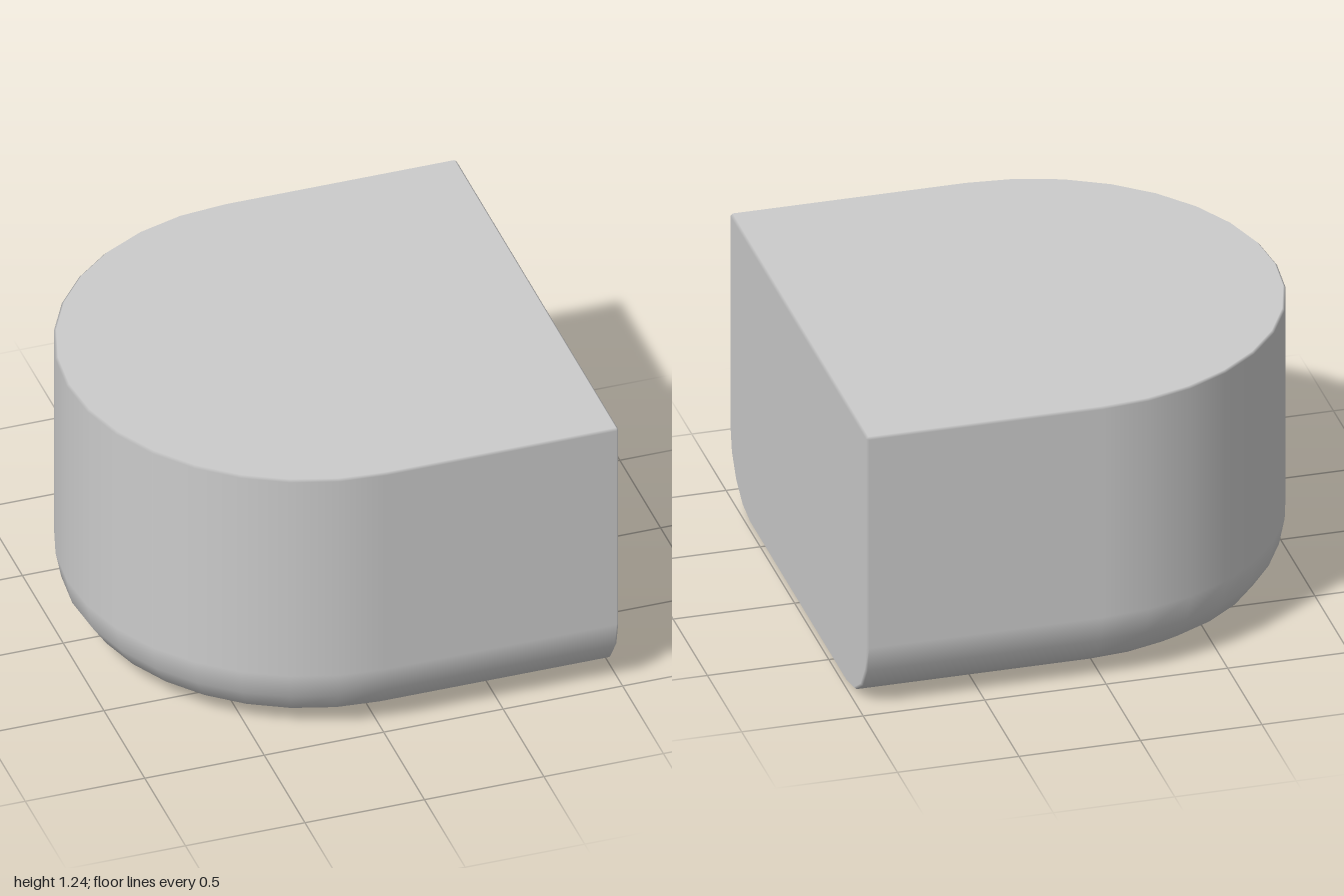
import * as THREE from 'three';

const R = 1, HEIGHT = 1.24, FILLET = 0.3, BEVEL = 0.01;
const ARC_X = 0.015, END_X = 0.985;

// Half cross-section from bottom centre to top centre: radius, height and normal
function crossSection() {
  const points = [{ r: 0, y: 0, nr: 0, ny: -1 }];
  for (let i = 0; i <= 4; i++) {
    const a = (i / 4) * Math.PI / 2;
    const nr = Math.sin(a), ny = -Math.cos(a);
    points.push({ r: R - FILLET + FILLET * nr, y: FILLET + FILLET * ny, nr, ny });
  }
  points.push({ r: R, y: HEIGHT - BEVEL, nr: 1, ny: 0 });
  points.push({ r: R - BEVEL, y: HEIGHT, nr: 0, ny: 1 });
  points.push({ r: 0, y: HEIGHT, nr: 0, ny: 1 });
  return points;
}

// Stations along the D-shaped outline: front side, round end, back side
function outline() {
  const stations = [{ x: END_X, t: 0, cap: true }, { x: END_X - BEVEL, t: 0 }];
  for (let i = 0; i <= 16; i++) stations.push({ x: ARC_X, t: (i / 16) * Math.PI });
  stations.push({ x: END_X - BEVEL, t: Math.PI }, { x: END_X, t: Math.PI, cap: true });
  return stations;
}

function bodyGeometry() {
  const section = crossSection(), stations = outline();
  const n = section.length, positions = [], normals = [], index = [];

  for (const { x, t, cap } of stations) {
    const dx = -Math.sin(t), dz = Math.cos(t);
    const inset = cap ? BEVEL : 0;
    for (const { r, y, nr, ny } of section) {
      const rr = r - inset * nr;
      positions.push(x + rr * dx, y - inset * ny, rr * dz);
      if (cap) normals.push(1, 0, 0);
      else normals.push(nr * dx, ny, nr * dz);
    }
  }

  // Walls, rounded lower edge, top and bottom
  for (let s = 0; s < stations.length - 1; s++) {
    for (let p = 0; p < n - 1; p++) {
      const a = s * n + p, b = a + n;
      index.push(a, a + 1, b, b, a + 1, b + 1);
    }
  }
  // Flat end wall between the first and last stations
  const last = (stations.length - 1) * n;
  for (let p = 0; p < n - 1; p++) {
    index.push(p, last + p, p + 1, last + p, last + p + 1, p + 1);
  }

  const geometry = new THREE.BufferGeometry();
  geometry.setAttribute('position', new THREE.Float32BufferAttribute(positions, 3));
  geometry.setAttribute('normal', new THREE.Float32BufferAttribute(normals, 3));
  geometry.setIndex(index);
  return geometry;
}

export function createModel() {
  const group = new THREE.Group();
  const body = new THREE.Mesh(bodyGeometry(), new THREE.MeshStandardMaterial({ color: 0xcccccc }));
  body.name = 'roundedBlock';
  group.add(body);
  return group;
}
